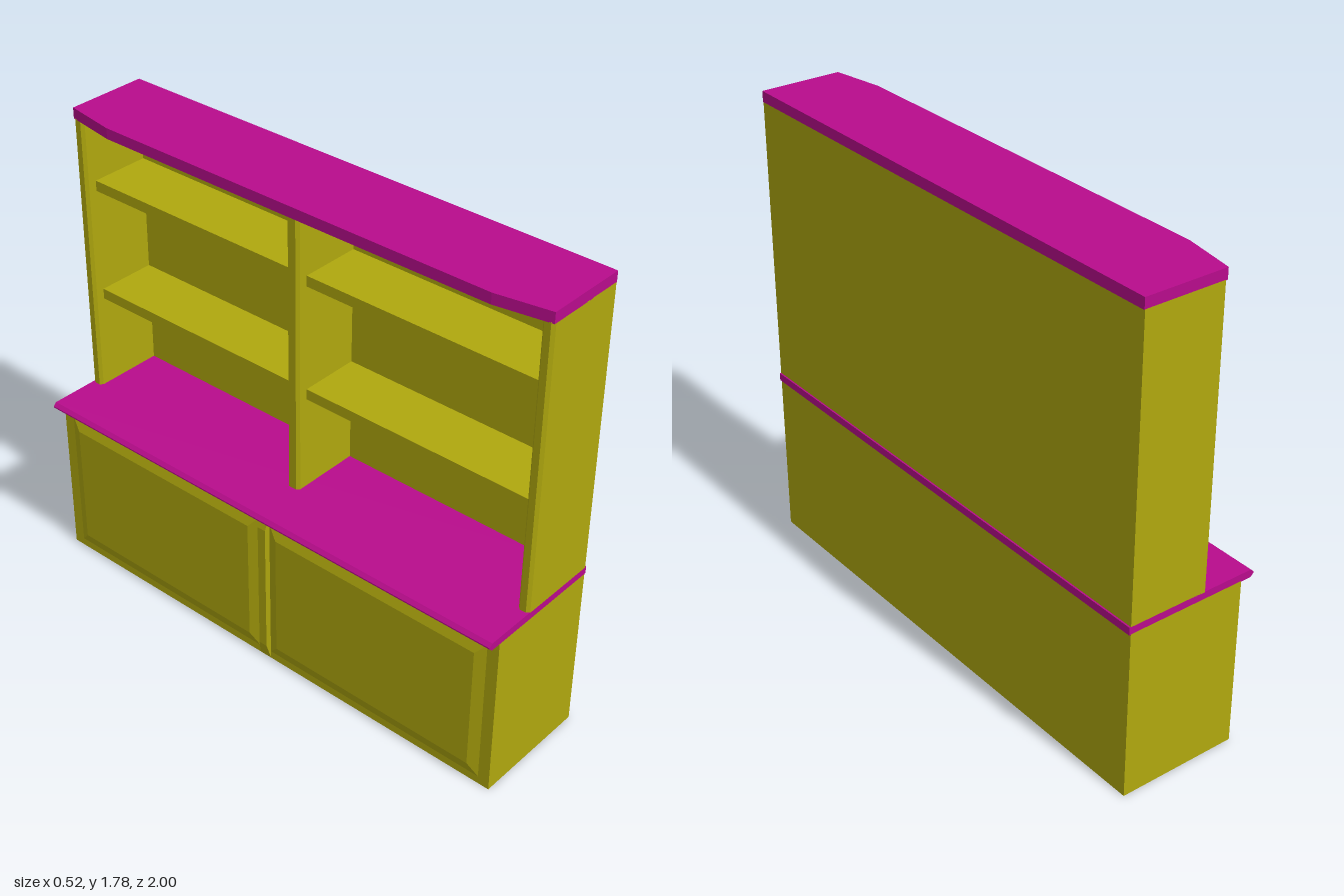
import * as THREE from 'three';

const body = new THREE.MeshStandardMaterial({ color: 0xb0a80e });
const trim = new THREE.MeshStandardMaterial({ color: 0xb80c8c });

// Box given by its limits; the -x face can be shrunk to bevel its edges
function block(name, [x0, x1], [y0, y1], [z0, z1], insetY = 0, insetZ = 0) {
  const g = new THREE.BoxGeometry(x1 - x0, y1 - y0, z1 - z0);
  const p = g.attributes.position;
  for (let i = 0; i < p.count; i++) {
    if (p.getX(i) > 0) continue;
    p.setY(i, p.getY(i) - Math.sign(p.getY(i)) * insetY);
    p.setZ(i, p.getZ(i) - Math.sign(p.getZ(i)) * insetZ);
  }
  g.computeVertexNormals();
  const mesh = new THREE.Mesh(g, body);
  mesh.name = name;
  mesh.position.set((x0 + x1) / 2, (y0 + y1) / 2, (z0 + z1) / 2);
  return mesh;
}

function extruded(name, points, depth) {
  const shape = new THREE.Shape(points.map(([x, y]) => new THREE.Vector2(x, y)));
  const g = new THREE.ExtrudeGeometry(shape, { depth, bevelEnabled: false });
  const mesh = new THREE.Mesh(g, trim);
  mesh.name = name;
  return mesh;
}

export function createModel() {
  const model = new THREE.Group();
  model.name = 'dresser';

  // Lower cupboard, with the doors on the -x side
  const base = new THREE.Group();
  base.name = 'baseCabinet';
  base.add(block('baseBody', [-0.21, 0.25], [0, 0.64], [-1, 1]));
  for (const s of [-1, 1]) {
    const z = s * 0.49;
    base.add(block(s < 0 ? 'rightDoor' : 'leftDoor', [-0.224, -0.21], [0.03, 0.605], [z - 0.465, z + 0.465], 0.045, 0.04));
  }
  base.add(block('baseCentreStile', [-0.224, -0.21], [0.0, 0.64], [-0.025, 0.025], 0.06, 0.008));
  model.add(base);

  // Counter with a pointed front edge
  const counter = extruded('counter', [
    [0.256, 0.638], [0.256, 0.667], [-0.25, 0.667], [-0.263, 0.655], [-0.263, 0.65], [-0.25, 0.638],
  ], 2);
  counter.position.z = -1;
  model.add(counter);

  // Upper open shelving
  const hutch = new THREE.Group();
  hutch.name = 'hutch';
  const height = [0.665, 1.742];
  hutch.add(block('backPanel', [0.21, 0.25], height, [-1, 1]));
  const uprights = { rightSide: -0.978, divider: 0, leftSide: 0.978 };
  for (const [name, z] of Object.entries(uprights)) {
    const half = z === 0 ? 0.026 : 0.022;
    hutch.add(block(name, [-0.052, 0.25], height, [z - half, z + half]));
    hutch.add(block(name + 'Moulding', [-0.063, -0.052], height, [z - half, z + half], 0, 0.01));
  }
  for (const s of [-1, 1]) {
    for (const y of [1.025, 1.462]) {
      const z = s * 0.49;
      hutch.add(block('shelf', [-0.02, 0.22], [y, y + 0.04], [z - 0.47, z + 0.47]));
    }
  }
  model.add(hutch);

  // Cornice whose front tapers back towards both ends
  const cornice = extruded('cornice', [
    [0.252, -1], [0.252, 1], [-0.06, 1], [-0.094, 0.8], [-0.094, -0.8], [-0.06, -1],
  ], 0.04);
  cornice.rotation.x = -Math.PI / 2;
  cornice.position.y = 1.74;
  model.add(cornice);

  return model;
}
